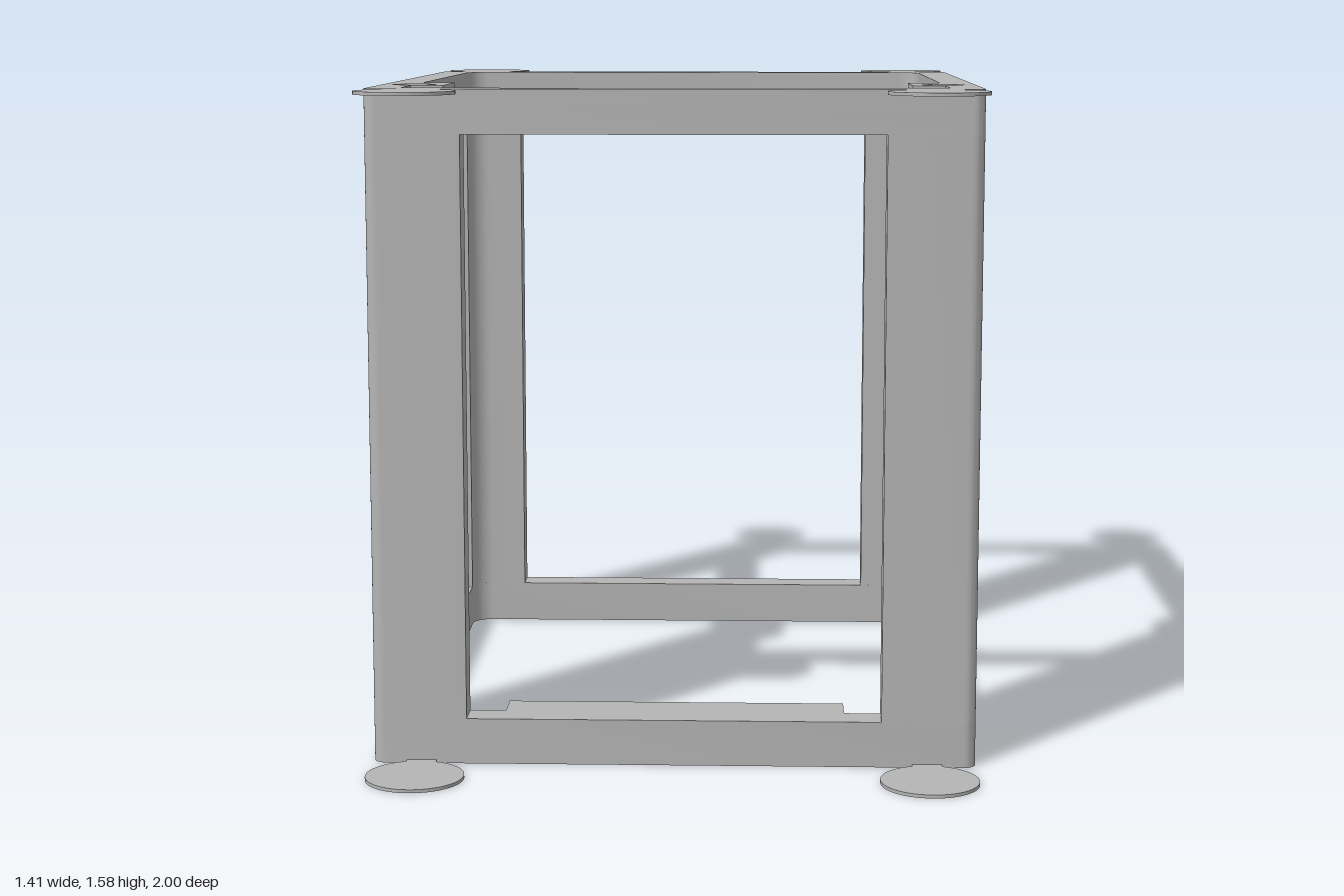
import * as THREE from 'three';
import { toCreasedNormals } from 'three/addons/utils/BufferGeometryUtils.js';

const W = 0.706, D = 0.762, H = 1.575;      // outer half width, half depth, height
const IW = 0.63, ID = 0.685;                // inner half width, half depth
const LOW = 0.108, HIGH = 1.472;            // window bottom and top
const BOSS = 0.553, HOLE_Z = 0.431, RECESS = 0.045;

// Polygon of [x, z, cornerRadius] with rounded corners
function outline(points, Type = THREE.Shape) {
  const path = new Type();
  const n = points.length;
  points.forEach(([x, z, r = 0], i) => {
    const toward = ([px, pz]) => {
      const len = Math.hypot(px - x, pz - z);
      return [x + (px - x) * r / len, z + (pz - z) * r / len];
    };
    const a = toward(points[(i + n - 1) % n]);
    const b = toward(points[(i + 1) % n]);
    if (i === 0) path.moveTo(...a); else path.lineTo(...a);
    if (r) {
      // cubic handles that follow a quarter circle
      const k = 0.5523;
      path.bezierCurveTo(a[0] + (x - a[0]) * k, a[1] + (z - a[1]) * k,
        b[0] + (x - b[0]) * k, b[1] + (z - b[1]) * k, ...b);
    }
  });
  path.closePath();
  return path;
}

const mirrorX = (points) => points.map(([x, z, r]) => [-x, z, r]);

const regular = (x, z, radius, sides) => Array.from({ length: sides }, (_, i) => {
  const a = i / sides * Math.PI * 2;
  return [x + radius * Math.cos(a), z + radius * Math.sin(a)];
});

export function createModel() {
  const model = new THREE.Group();
  const grey = new THREE.MeshStandardMaterial({ color: 0xb5b5b5 });
  grey.name = 'plain grey';

  // Extrudes a plan shape upward between two heights
  function slab(name, shape, y0, y1) {
    const geometry = new THREE.ExtrudeGeometry(shape, {
      depth: y1 - y0, bevelEnabled: false, curveSegments: 8,
    });
    geometry.rotateX(Math.PI / 2).translate(0, y1, 0);
    const mesh = new THREE.Mesh(toCreasedNormals(geometry, 0.6), grey);
    mesh.name = name;
    model.add(mesh);
  }

  // Closed rings with screw bosses; the inner outline is mirrored
  const innerHalf = [
    [IW, ID, 0.02], [IW, 0.505], [BOSS, 0.505], [BOSS, 0.285], [IW, 0.285], [IW, -ID, 0.055],
  ];
  function ring(name, y0, y1, holeRadius, holeSides) {
    const shape = outline([[W, D, 0.03], [-W, D, 0.03], [-W, -D, 0.03], [W, -D, 0.03]]);
    shape.holes.push(outline([...innerHalf, ...mirrorX(innerHalf).reverse()], THREE.Path));
    for (const s of [-1, 1]) {
      shape.holes.push(outline(regular(s * IW, HOLE_Z, holeRadius, holeSides), THREE.Path));
    }
    slab(name, shape, y0, y1);
  }
  ring('bottomRing', 0, LOW, 0.028, 24);
  ring('topRing', HIGH, H - RECESS, 0.028, 24);
  ring('topRingNutRecess', H - RECESS, H, 0.053, 6);

  // Upright posts between the rings
  const frontPost = [
    [0.485, D], [W, D, 0.03], [W, 0.63], [IW, 0.63], [IW, ID, 0.02], [0.485, ID],
  ];
  const backPost = [
    [0.485, -D], [W, -D, 0.03], [W, -0.625], [IW, -0.625], [IW, -ID, 0.055], [0.485, -ID],
  ];
  // the curved back corner starts just before the post's edge
  backPost[4][2] = 0.054;
  const screwPost = [
    [BOSS, 0.37], [W, 0.37], [W, 0.525], [IW, 0.525], [IW, 0.505], [BOSS, 0.505],
  ];
  for (const [side, s] of [['left', 1], ['right', -1]]) {
    const place = (points) => (s > 0 ? points : mirrorX(points));
    slab(side + 'FrontPost', outline(place(frontPost)), LOW, HIGH);
    slab(side + 'BackPost', outline(place(backPost)), LOW, HIGH);
    const post = outline(place(screwPost));
    post.holes.push(outline(regular(s * IW, HOLE_Z, 0.028, 24), THREE.Path));
    slab(side + 'ScrewPost', post, LOW, HIGH);

    // Thin corner discs joined to the frame by short necks
    for (const [end, f] of [['Front', 1], ['Back', -1]]) {
      const pad = [[-0.035, D], [0.035, D]];
      for (let i = 0; i <= 48; i++) {
        const a = -Math.PI / 2 + 0.312 + i / 48 * (Math.PI * 2 - 0.624);
        pad.push([0.114 * Math.cos(a), 0.886 + 0.114 * Math.sin(a)]);
      }
      const shape = outline(pad.map(([x, z]) => [s * (0.592 + x), f * z]));
      slab(side + end + 'BottomDisc', shape, 0, 0.008);
      slab(side + end + 'TopDisc', shape, H - 0.008, H);
    }
  }

  // Ledge behind the lower front bar, sloping underneath
  const profile = outline([[-ID, 0.003], [-ID, LOW], [-0.6, LOW], [-0.6, LOW - 0.006]]);
  const ledge = new THREE.ExtrudeGeometry(profile, { depth: 0.8, bevelEnabled: false });
  ledge.rotateY(Math.PI / 2).translate(-0.4, 0, 0);
  const ledgeMesh = new THREE.Mesh(ledge, grey);
  ledgeMesh.name = 'frontLedge';
  model.add(ledgeMesh);

  return model;
}
